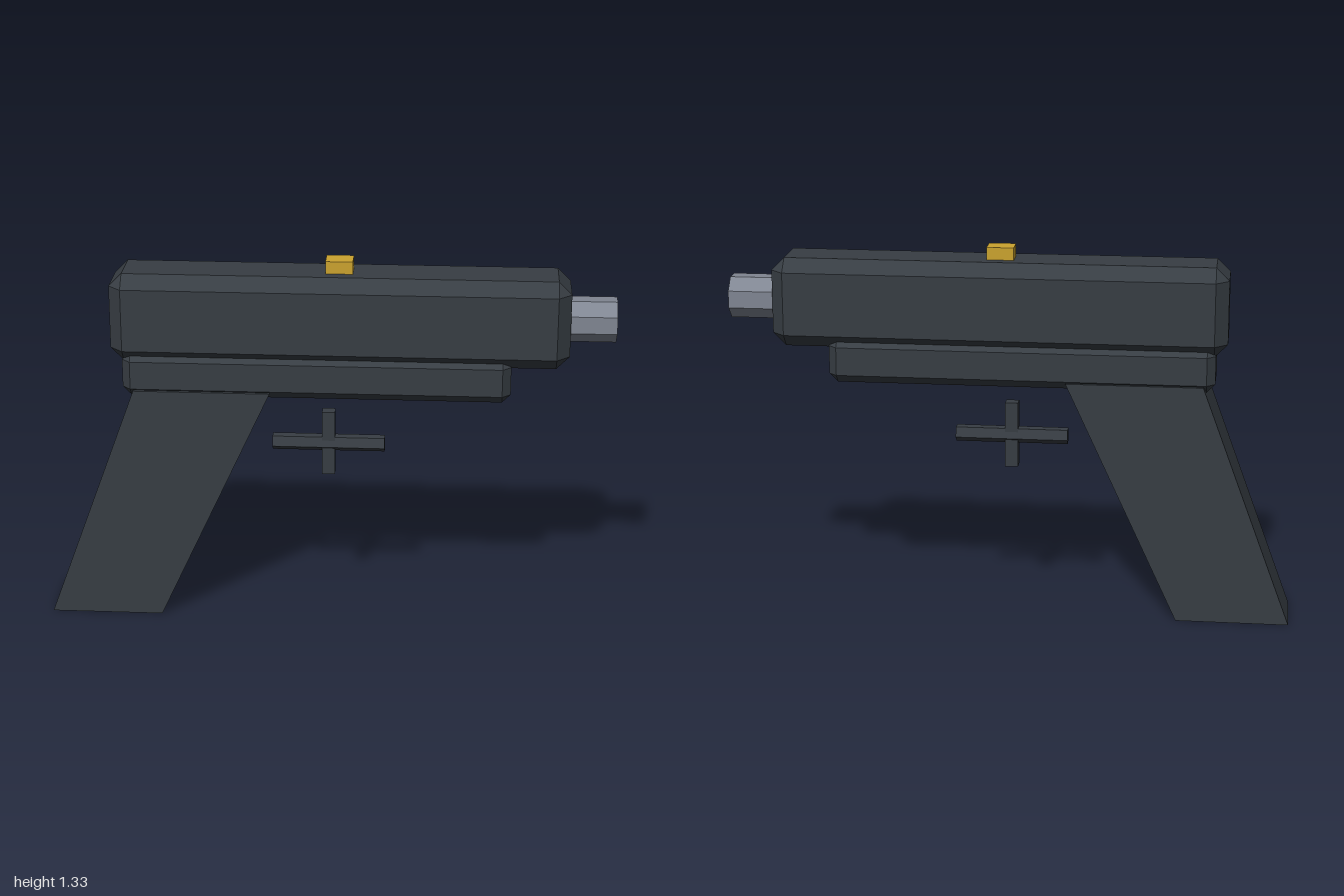
import * as THREE from 'three';
import { ConvexGeometry } from 'three/addons/geometries/ConvexGeometry.js';

function material(name, color) {
  const m = new THREE.MeshStandardMaterial({ color });
  m.name = name;
  return m;
}

// Box with every edge cut at 45 degrees by c
function chamferBox(w, h, d, c) {
  const pts = [];
  for (const sx of [-1, 1]) for (const sy of [-1, 1]) for (const sz of [-1, 1]) {
    for (const [a, b, e] of [[0, c, c], [c, 0, c], [c, c, 0]]) {
      pts.push(new THREE.Vector3(sx * (w / 2 - a), sy * (h / 2 - b), sz * (d / 2 - e)));
    }
  }
  return new ConvexGeometry(pts);
}

// Prism along x, facets kept flat
function prism(radius, length, sides, turn = 0) {
  const g = new THREE.CylinderGeometry(radius, radius, length, sides);
  g.rotateY(turn);
  g.rotateZ(-Math.PI / 2);
  const flat = g.toNonIndexed();
  flat.computeVertexNormals();
  return flat;
}

export function createModel() {
  const group = new THREE.Group();
  const dark = material('darkBody', 0x373d43);
  const steel = material('steel', 0x808692);
  const gold = material('gold', 0xcba32f);

  const add = (name, geometry, mat, x, y, z = 0) => {
    const mesh = new THREE.Mesh(geometry, mat);
    mesh.name = name;
    mesh.position.set(x, y, z);
    group.add(mesh);
  };

  // Upper body and the narrower rail below it
  add('slide', chamferBox(1.6, 0.316, 0.254, 0.046), dark, 0.04, 1.123);
  add('frame', chamferBox(1.36, 0.16, 0.24, 0.03), dark, -0.04, 0.92);

  // Raked grip, slightly wider at the top
  const grip = new THREE.BoxGeometry(1, 1, 1);
  const p = grip.attributes.position;
  for (let i = 0; i < p.count; i++) {
    const top = p.getY(i) > 0, front = p.getX(i) > 0;
    const x = top ? (front ? -0.2 : -0.68) : (front ? -0.6 : -1);
    p.setXYZ(i, x, top ? 0.865 : 0, Math.sign(p.getZ(i)) * (top ? 0.127 : 0.12));
  }
  grip.computeVertexNormals();
  add('grip', grip, dark, 0, 0);

  // Eight-sided barrel
  add('barrel', prism(0.079, 0.24, 8, Math.PI / 8), steel, 0.88, 1.123);

  // Sight block
  add('sight', new THREE.BoxGeometry(0.095, 0.05, 0.08), gold, 0.038, 1.3);

  // Trigger blade and five-sided crossbar
  add('trigger', new THREE.BoxGeometry(0.046, 0.236, 0.044), dark, 0, 0.643);
  add('triggerBar', prism(0.031, 0.4, 5, Math.PI / 2), dark, 0, 0.64);

  return group;
}
